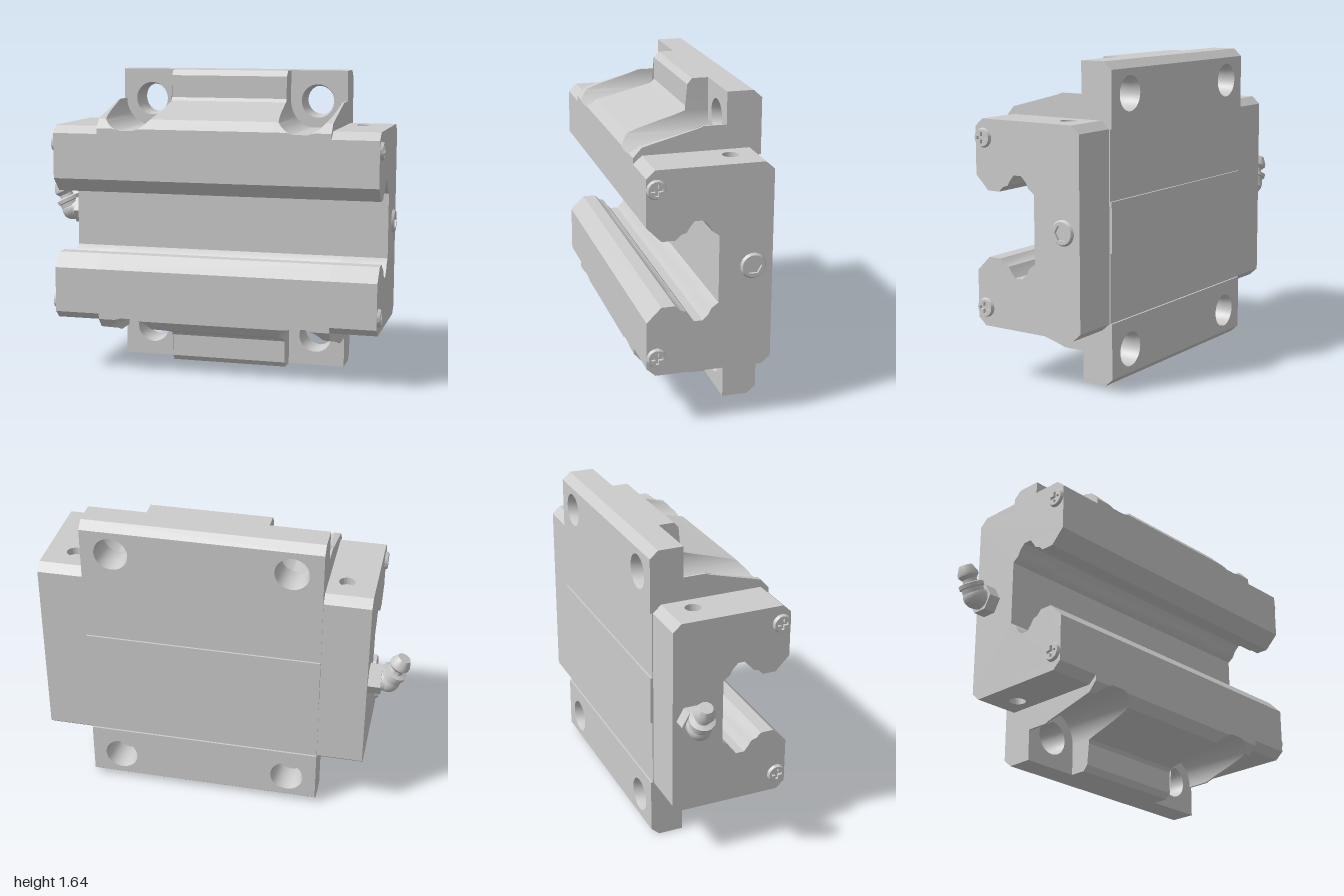
import * as THREE from 'three';
import { toCreasedNormals } from 'three/addons/utils/BufferGeometryUtils.js';

const HALF_H = 0.82;      // half height
const BLOCK = 0.635;      // half length of the steel block
const END = 0.883;        // half length including end caps
const BOLT = { u: 0.4725, v: 0.655, hole: 0.08, bore: 0.15 };
const SEAT_Z = -0.145;    // bolt seat plane
const FITTING_Z = -0.21;

const material = new THREE.MeshStandardMaterial({ color: 0xcccccc });

function addMesh(parent, name, geometry, crease = 0.5) {
  const mesh = new THREE.Mesh(toCreasedNormals(geometry, crease), material);
  mesh.name = name;
  parent.add(mesh);
  return mesh;
}

const extrude = (shape, depth, steps = 1) =>
  new THREE.ExtrudeGeometry(shape, { depth, steps, bevelEnabled: false, curveSegments: 20 });

// Shape drawn in (-z, y), extruded along x from x0 to x1
const extrudeX = (shape, x0, x1) => extrude(shape, x1 - x0).rotateY(Math.PI / 2).translate(x0, 0, 0);

const polygon = (points) => new THREE.Shape(points.map(([a, b]) => new THREE.Vector2(a, b)));

const rect = (x0, y0, x1, y1) => polygon([[x0, y0], [x1, y0], [x1, y1], [x0, y1]]);

const circleHole = (x, y, r) => new THREE.Path().absarc(x, y, r, 0, Math.PI * 2, true);

function moveVertices(geometry, rule) {
  const p = geometry.attributes.position;
  const v = new THREE.Vector3();
  for (let i = 0; i < p.count; i++) {
    rule(v.fromBufferAttribute(p, i));
    p.setXYZ(i, v.x, v.y, v.z);
  }
  return geometry;
}

// C-shaped section with the rail channel open to the front
function channelShape(top, back) {
  const upper = [[0.33, top], [0.33, 0.245], [0.255, 0.17], [0.185, 0.17], [0.16, 0.195], [0.13, 0.205],
    [0.115, 0.23], [0.09, 0.26], [0.045, 0.26], [0.015, 0.23], [0, 0.2], [-0.035, 0.175]];
  const lower = upper.map(([z, y]) => [z, -y]).reverse();
  return polygon([...upper, ...lower, [back, -top], [back, top]].map(([z, y]) => [-z, y]));
}

// Flange plate with chamfered back edge and countersunk bolt holes
function flangePlate() {
  const shape = rect(-BLOCK, 0.49, BLOCK, HALF_H);
  for (const s of [-1, 1]) shape.holes.push(circleHole(s * BOLT.u, BOLT.v, BOLT.hole));
  const geometry = extrude(shape, 0.18, 4).translate(0, 0, -0.325);
  return moveVertices(geometry, (v) => {
    const atBack = v.z < -0.32, atFront = v.z > SEAT_Z - 0.005;
    if (atBack && v.y > HALF_H - 0.01) v.y -= 0.04;
    const cx = Math.sign(v.x) * BOLT.u;
    if ((atBack || atFront) && Math.hypot(v.x - cx, v.y - BOLT.v) < BOLT.hole + 0.01) {
      v.x = cx + (v.x - cx) * 1.13;
      v.y = BOLT.v + (v.y - BOLT.v) * 1.13;
    }
  });
}

// Sloping shoulder in front of the flange, cut by a round-bottomed bore at each bolt
function shoulder() {
  const base = 0.5;
  const profile = [[SEAT_Z, HALF_H], [-0.06, HALF_H], [-0.035, 0.79], [-0.035, 0.67], [-0.02, 0.652],
    [0, 0.645], [0.285, 0.57], [0.33, 0.52], [0.33, base]];
  const clipped = (c) => {
    const k = profile.findIndex(([, y]) => y < c);
    const [z0, y0] = profile[Math.max(k - 1, 0)], [z1, y1] = profile[k];
    const zc = z0 + (z1 - z0) * (y0 - c) / (y0 - y1 || 1);
    return profile.map(([z, y], i) => (i === 0 ? [z, c] : y > c ? [zc, c] : [z, y]));
  };
  const stations = [];
  const closeEnd = (x) => stations.push([x, profile.map(() => [SEAT_Z, base])]);
  const bore = (cx) => {
    for (let k = 0; k <= 24; k++) {
      const a = Math.PI * k / 24;
      stations.push([cx - BOLT.bore * Math.cos(a), clipped(BOLT.v - BOLT.bore * Math.sin(a))]);
    }
  };
  closeEnd(-BLOCK);
  stations.push([-BLOCK, clipped(BOLT.v)]);
  bore(-BOLT.u);
  stations.push([-BOLT.u + BOLT.bore, profile], [BOLT.u - BOLT.bore, profile]);
  bore(BOLT.u);
  stations.push([BLOCK, clipped(BOLT.v)]);
  closeEnd(BLOCK);

  const positions = [], index = [], n = profile.length;
  stations.forEach(([x, section], i) => {
    section.forEach(([z, y]) => positions.push(x, y, z));
    if (i === 0) return;
    for (let j = 0; j < n - 1; j++) {
      const a = (i - 1) * n + j, b = i * n + j;
      index.push(a, a + 1, b, b, a + 1, b + 1);
    }
  });
  const geometry = new THREE.BufferGeometry();
  geometry.setAttribute('position', new THREE.Float32BufferAttribute(positions, 3));
  geometry.setIndex(index);
  return geometry;
}

// Chamfered top of an end cap with a blind oil hole
function capTop(x0, x1) {
  const shape = rect(x0, -0.33, x1, 0.31);
  shape.holes.push(circleHole(Math.sign(x0) * 0.73, 0.135, 0.042));
  const geometry = extrude(shape, 0.04).rotateX(-Math.PI / 2).translate(0, 0.49, 0);
  return moveVertices(geometry, (v) => {
    if (v.y > 0.52 && Math.abs(v.z) > 0.3) v.z -= Math.sign(v.z) * 0.045;
  });
}

// Round head with a recess, facing +x
function recessedHead(radius, recess, depth) {
  const shape = new THREE.Shape().absarc(0, 0, radius, 0, Math.PI * 2, false);
  shape.holes.push(new THREE.Path(recess.map(([a, b]) => new THREE.Vector2(a, b))));
  const geometry = extrudeX(shape, 0, depth);
  return moveVertices(geometry, (v) => {
    if (v.x > depth / 2 && Math.hypot(v.y, v.z) > radius * 0.95) { v.y *= 0.86; v.z *= 0.86; }
  });
}

// Angled grease nipple on the end face
function greaseFitting() {
  const fitting = new THREE.Group();
  fitting.name = 'greaseFitting';
  const alongX = (r, x0, x1, sides) =>
    new THREE.CylinderGeometry(r, r, x1 - x0, sides).rotateZ(Math.PI / 2).translate((x0 + x1) / 2, 0, 0);
  addMesh(fitting, 'hexNut', alongX(0.08, -0.95, -END, 6));
  addMesh(fitting, 'elbowStub', alongX(0.06, -0.985, -0.94, 24));
  addMesh(fitting, 'elbowJoint', new THREE.SphereGeometry(0.062, 24, 16).translate(-0.985, -0.002, 0), 1);
  const profile = [[0, 0], [0.058, 0], [0.058, 0.045], [0.067, 0.05], [0.067, 0.07], [0.04, 0.078], [0.038, 0.095],
    [0.055, 0.115], [0.055, 0.13], [0.036, 0.17], [0, 0.17]];
  const nipple = addMesh(fitting, 'nipple',
    new THREE.LatheGeometry(profile.map(([r, y]) => new THREE.Vector2(r, y)), 28));
  nipple.position.set(-0.985, -0.002, 0);
  nipple.rotation.z = 0.45;
  fitting.position.z = FITTING_Z;
  return fitting;
}

export function createModel() {
  const model = new THREE.Group();
  model.name = 'railCarriage';
  const body = new THREE.Group();
  body.name = 'carriage';
  body.position.set(0.1, HALF_H, 0);
  model.add(body);

  // Steel block and raised back pad
  addMesh(body, 'blockCore', extrudeX(channelShape(0.51, -0.315), -BLOCK, BLOCK));
  addMesh(body, 'backPad', new THREE.BoxGeometry(2 * BLOCK, 0.26, 0.025).translate(0, 0, -0.3125));

  const cross = [];
  for (let i = 0; i < 4; i++) {
    const c = Math.round(Math.cos(i * Math.PI / 2)), s = Math.round(Math.sin(i * Math.PI / 2));
    for (const [a, b] of [[0.03, -0.008], [0.03, 0.008], [0.008, 0.008]]) cross.push([a * c - b * s, a * s + b * c]);
  }
  const hexagon = [...Array(6)].map((_, i) => [0.042 * Math.cos(i * Math.PI / 3), 0.042 * Math.sin(i * Math.PI / 3)]);

  // Upper half, then the same turned half a turn for the lower half
  for (const [side, angle] of [['upper', 0], ['lower', Math.PI]]) {
    const half = new THREE.Group();
    half.name = side + 'Half';
    half.rotation.z = angle;
    addMesh(half, 'flangePlate', flangePlate());
    addMesh(half, 'shoulder', shoulder());
    for (const [x0, x1] of [[-END, -BLOCK], [BLOCK, END]]) addMesh(half, 'endCapTop', capTop(x0, x1));
    for (const turn of [0, Math.PI]) {
      const screw = addMesh(half, 'capScrew', recessedHead(0.05, cross, 0.016));
      screw.rotation.y = turn;
      screw.position.set(turn ? -END : END, 0.434, 0.28);
    }
    body.add(half);
  }

  // End caps
  for (const [x0, x1] of [[-END, -BLOCK], [BLOCK, END]])
    addMesh(body, 'endCap', extrudeX(channelShape(0.49, -0.31), x0, x1));

  // Plug on one end, grease nipple on the other
  addMesh(body, 'hexPlug', recessedHead(0.066, hexagon, 0.014)).position.set(END, 0.003, FITTING_Z);
  body.add(greaseFitting());
  return model;
}
